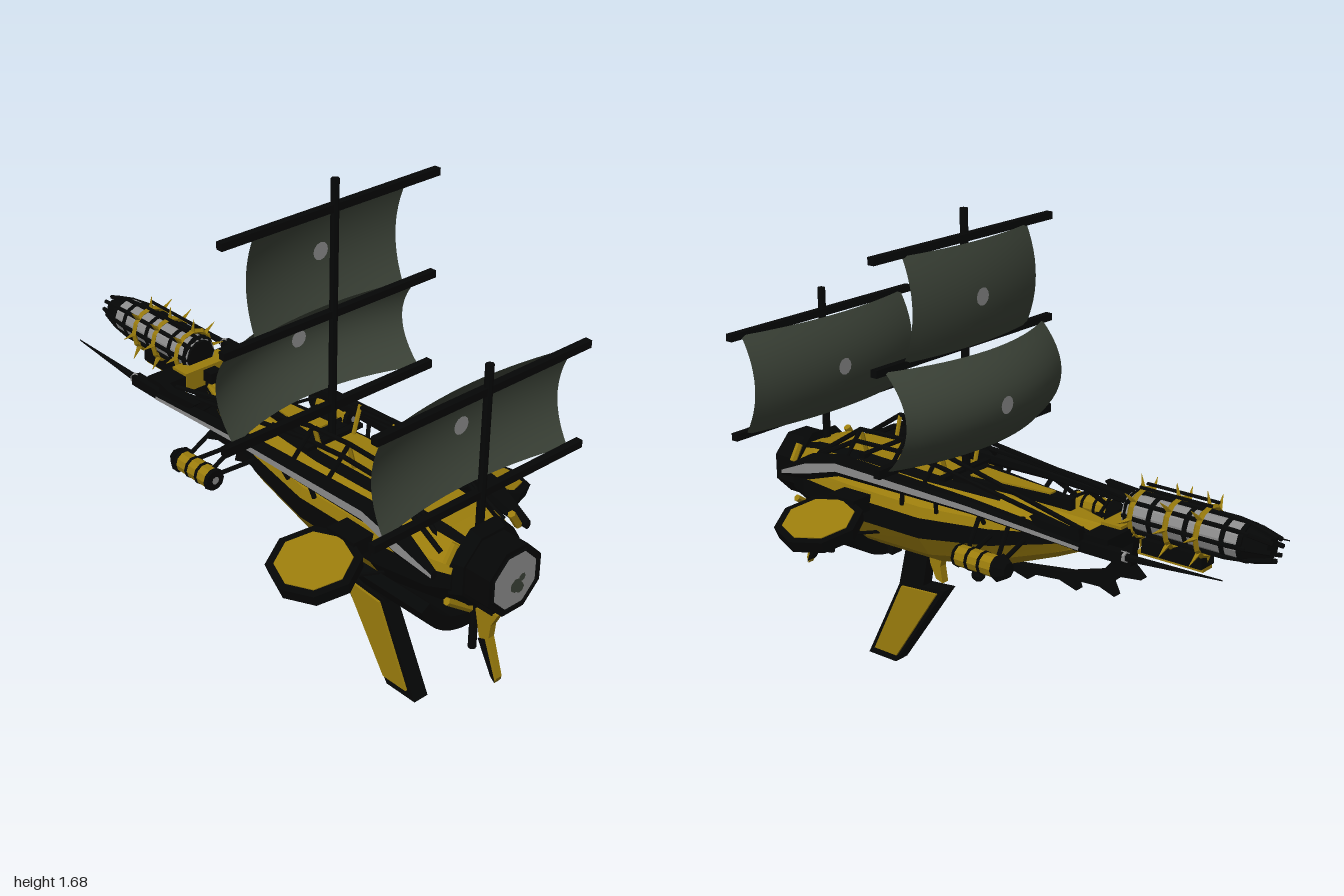
import * as THREE from 'three';

const V = (x, y, z) => new THREE.Vector3(x, y, z);
const mat = (name, color, flat = true) => Object.assign(new THREE.MeshStandardMaterial({ color, flatShading: flat }), { name });

export function createModel() {
  const root = new THREE.Group();
  root.name = 'airship';
  const black = mat('black iron', 0x050606), gold = mat('ochre panel', 0x9a7c0c);
  const grey = mat('pale grey', 0x8c8c8c), cloth = mat('sail cloth', 0x3b4237, false);
  cloth.side = THREE.DoubleSide;

  function add(name, geo, m, x = 0, y = 0, z = 0, parent = root) {
    const mesh = new THREE.Mesh(geo, m);
    mesh.name = name;
    mesh.position.set(x, y, z);
    parent.add(mesh);
    return mesh;
  }
  const box = (name, m, w, h, d, x, y, z) => add(name, new THREE.BoxGeometry(w, h, d), m, x, y, z);

  // Straight bar between two points
  function rod(name, a, b, r, m = black, sides = 6, r2 = r) {
    const d = b.clone().sub(a);
    const o = add(name, new THREE.CylinderGeometry(r2, r, d.length(), sides), m);
    o.position.copy(a).addScaledVector(d, 0.5);
    o.quaternion.setFromUnitVectors(V(0, 1, 0), d.normalize());
  }
  const path = (name, pts, r) => pts.slice(1).forEach((p, i) => rod(name, pts[i], p, r));

  // Drum lying along z
  function drum(name, rBack, rFront, len, sides, m, x, y, z) {
    const g = new THREE.CylinderGeometry(rFront, rBack, len, sides);
    g.rotateY(Math.PI / sides).rotateX(Math.PI / 2);
    add(name, g, m, x, y, z);
  }

  // Skin over counter-clockwise sections ordered front to back; one material index per face
  function loft(name, secs, mats, pick = () => 0) {
    const bins = mats.map(() => []);
    const n = secs[0].length;
    for (let i = 0; i < secs.length - 1; i++) for (let j = 0; j < n; j++) {
      const k = (j + 1) % n, a = secs[i][j], b = secs[i][k], c = secs[i + 1][k], d = secs[i + 1][j];
      bins[pick(i, j)].push(a, d, c, a, c, b);
    }
    const first = secs[0], last = secs[secs.length - 1];
    for (let j = 1; j < n - 1; j++) bins[0].push(first[0], first[j], first[j + 1], last[0], last[j + 1], last[j]);
    const g = new THREE.BufferGeometry().setFromPoints(bins.flat());
    let start = 0;
    bins.forEach((b, i) => { g.addGroup(start, b.length, i); start += b.length; });
    g.computeVertexNormals();
    add(name, g, mats);
  }

  // Flat plate drawn in (z, y) and given thickness along x
  function plate(name, pts, t, m, x = 0) {
    const s = new THREE.Shape(pts.map(([z, y]) => new THREE.Vector2(-z, y)));
    const g = new THREE.ExtrudeGeometry(s, { depth: t, bevelEnabled: false });
    g.translate(0, 0, -t / 2).rotateY(Math.PI / 2);
    add(name, g, m, x);
  }

  // Hull: [z, half width, bottom, top], black belt and deck edges, ochre panels
  const half = [[0.45, 1], [0.62, 0.88], [0.95, 0.45], [1, 0.22], [1, -0.24], [0.72, -0.72], [0.38, -1]];
  const ring = [...half.slice().reverse(), ...half.map(([x, y]) => [-x, y])];
  const stations = [[0.87, 0.14, 0.54, 0.765], [0.8, 0.17, 0.51, 0.785], [0.58, 0.19, 0.47, 0.8],
    [0.25, 0.185, 0.475, 0.79], [-0.02, 0.145, 0.53, 0.78], [-0.22, 0.09, 0.605, 0.765], [-0.44, 0.012, 0.7, 0.745]];
  const hullSecs = stations.map(([z, w, b, t]) => ring.map(([x, y]) => V(x * w, (b + t) / 2 + y * (t - b) / 2, z)));
  const bowStrip = [0, 0, 0, 1, 1, 0, 1, 0, 1, 1, 0, 0, 0, 0];
  const midStrip = [1, 1, 0, 1, 1, 0, 1, 0, 1, 1, 0, 1, 1, 1];
  const tailStrip = [1, 1, 0, 1, 1, 1, 1, 1, 1, 1, 0, 1, 1, 1];
  loft('hull', hullSecs, [black, gold], (i, j) => (i < 2 ? bowStrip : i < 4 ? midStrip : tailStrip)[j]);

  // Deck trim
  for (const z of [0.56, 0.2]) box('deckBand', black, 0.24, 0.015, 0.025, 0, 0.797, z);
  const wedge = (name, ends, y0, y1, m) =>
    loft(name, ends.map(([z, w]) => [V(-w, y0, z), V(w, y0, z), V(w, y1, z), V(-w, y1, z)]), [m]);
  wedge('deckWedge', [[0.18, 0.085], [-0.25, 0.014]], 0.755, 0.8, black);
  wedge('deckInlay', [[0.14, 0.045], [-0.17, 0.014]], 0.795, 0.806, gold);

  // Nose with round port
  drum('noseCollar', 0.15, 0.13, 0.04, 8, black, 0, 0.66, 0.88);
  drum('nose', 0.12, 0.12, 0.12, 8, black, 0, 0.66, 0.935);
  add('noseRim', new THREE.TorusGeometry(0.1, 0.016, 4, 8).rotateZ(Math.PI / 8), black, 0, 0.66, 0.984);
  add('nosePort', new THREE.CircleGeometry(0.095, 16), grey, 0, 0.66, 0.996);
  for (const [r, x, y] of [[0.025, 0.005, 0.64], [0.018, 0.022, 0.625], [0.014, 0.03, 0.66]])
    add('portMark', new THREE.CircleGeometry(r, 7), cloth, x, y, 0.998);

  // Cradle curved under the bow
  const cradle = new THREE.Shape();
  cradle.absarc(0, 0.645, 0.235, Math.PI * 1.13, Math.PI * 1.87, false);
  cradle.absarc(0, 0.665, 0.205, Math.PI * 1.85, Math.PI * 1.15, true);
  add('bowCradle', new THREE.ExtrudeGeometry(cradle, { depth: 0.29, bevelEnabled: false, curveSegments: 10 }), black, 0, 0, 0.54);
  plate('bowKeel', [[0.84, 0.52], [0.82, 0.45], [0.52, 0.41], [0.5, 0.5]], 0.05, black);

  // Masts, yards and sails
  rod('mainMast', V(0, 0.72, 0.195), V(0, 1.68, 0.195), 0.0135, black, 8);
  rod('foreMast', V(0, 0.33, 0.845), V(0, 1.32, 0.845), 0.0135, black, 8);
  for (const [y, z, h] of [[1.587, 0.19, 0.025], [1.235, 0.19, 0.025], [0.907, 0.19, 0.03], [1.235, 0.84, 0.025], [0.89, 0.84, 0.025]])
    box('yard', black, 0.88, h, 0.025, 0, y, z);
  function sail(y0, y1, w, z, a, b) {
    const g = new THREE.PlaneGeometry(2, 2, 16, 12), p = g.attributes.position;
    for (let i = 0; i < p.count; i++) {
      const u = p.getX(i), v = p.getY(i);
      p.setXYZ(i, u * w, (y0 + y1) / 2 + v * (y1 - y0) / 2, z - a * (1 - u * u) - b * (1 - v * v));
    }
    g.computeVertexNormals();
    add('sail', g, cloth, 0.003);
    for (const s of [-1, 1])
      add('sailDisc', new THREE.CircleGeometry(0.03, 12).rotateY(s < 0 ? Math.PI : 0), grey, 0.02, (y0 + y1) / 2, z - a - b + s * 0.005);
  }
  sail(1.24, 1.58, 0.307, 0.182, 0.035, 0.04);
  sail(0.905, 1.232, 0.395, 0.182, 0.09, 0.085);
  sail(0.89, 1.235, 0.39, 0.832, 0.05, 0.055);

  for (const s of [-1, 1]) {
    // Side rails with pale outer strip
    const rail = [[0.86, 0.7, 0.015, 0.012], [0.72, 0.748, 0.045, 0.032], [0.58, 0.783, 0.036, 0.03],
      [0, 0.775, 0.022, 0.027], [-0.44, 0.752, 0.015, 0.024]];
    loft('sideRail', rail.map(([z, y, h, w]) => [0, 1, 2, 3, 4, 5, 6, 7].map(k => {
      const t = (k + 0.5) * Math.PI / 4;
      return V(s * 0.203 + w * Math.cos(t) * 1.08, y + h * Math.sin(t) * 1.08, z);
    })), [black, grey], (i, j) => j === (s > 0 ? 7 : 3) ? 1 : 0);
    for (const [z, w] of [[-0.08, 0.1], [-0.26, 0.05]]) {
      rod('railBrace', V(s * 0.2, 0.755, z), V(s * w, 0.735, z - 0.05), 0.006);
      rod('railBrace', V(s * 0.2, 0.755, z - 0.1), V(s * w, 0.735, z - 0.05), 0.006);
    }
    for (const [z, x] of [[0.3, 0.186], [0.16, 0.172], [-0.02, 0.145]])
      rod('hullStay', V(s * 0.2, 0.77, z), V(s * x, 0.7, z + 0.02), 0.008);
    plate('sternCrest', [[-0.24, 0.805], [-0.29, 0.76], [-0.44, 0.75], [-0.43, 0.81], [-0.38, 0.795]], 0.03, black, s * 0.2);

    // Raised cage above the deck
    for (const [dx, dy] of [[0, 0], [0.025, -0.035]])
      path('cageRod', [V(s * (0.11 + dx), 0.73, 0.82), V(s * (0.1 + dx), 0.885 + dy, 0.58), V(s * (0.1 + dx), 0.89 + dy, 0.38),
        V(s * (0.1 + dx), 0.875 + dy, 0.2), V(s * (0.15 + dx), 0.775, -0.42)], 0.0085);
    for (const z of [0.58, 0.38, 0.22]) {
      rod('cageRib', V(s * 0.1, 0.885, z), V(s * 0.2, 0.78, z), 0.008);
      rod('cageRib', V(s * 0.1, 0.885, z), V(s * 0.07, 0.78, z), 0.008, gold);
    }

    // Octagonal side wings
    const wing = new THREE.Group();
    wing.name = 'sideWing';
    wing.position.set(s * 0.367, 0.633, 0.525);
    wing.rotation.z = -s * 0.27;
    root.add(wing);
    const rim = add('wingRim', new THREE.CylinderGeometry(0.157, 0.15, 0.044, 8), black, 0, 0, 0, wing);
    const face = add('wingPanel', new THREE.CylinderGeometry(0.128, 0.128, 0.006, 8), gold, 0, 0.022, 0, wing);
    rim.scale.x = face.scale.x = 0.92;
    box('wingHub', black, 0.1, 0.055, 0.12, s * 0.215, 0.67, 0.525);
    rod('wingStrut', V(s * 0.46, 0.595, 0.5), V(s * 0.17, 0.57, 0.62), 0.006);
    rod('wingStrut', V(s * 0.44, 0.6, 0.56), V(s * 0.16, 0.56, 0.45), 0.006);

    // Side canisters on brackets
    drum('canister', 0.036, 0.036, 0.15, 10, gold, s * 0.305, 0.65, -0.11);
    for (const z of [-0.19, -0.135, -0.085]) drum('canisterBand', 0.039, 0.039, 0.01, 10, black, s * 0.305, 0.65, z);
    drum('canisterCap', 0.026, 0.046, 0.035, 8, black, s * 0.305, 0.65, -0.215);
    drum('canisterEnd', 0.04, 0.036, 0.012, 10, black, s * 0.305, 0.65, -0.032);
    add('canisterLens', new THREE.CircleGeometry(0.014, 8), grey, s * 0.305, 0.65, -0.024);
    for (const z of [-0.06, -0.18]) {
      rod('canisterArm', V(s * 0.3, 0.665, z), V(s * 0.2, 0.755, z + 0.03), 0.008);
      rod('canisterArm', V(s * 0.3, 0.645, z), V(s * 0.07, 0.67, z + 0.05), 0.008);
    }

    // Long rear spikes
    box('spikeBase', black, 0.035, 0.035, 0.18, s * 0.198, 0.755, -0.5);
    rod('rearSpike', V(s * 0.198, 0.755, -0.57), V(s * 0.192, 0.77, -0.93), 0.014, black, 6, 0.002);
    rod('spikeCollar', V(s * 0.198, 0.756, -0.58), V(s * 0.198, 0.757, -0.6), 0.018, grey);

    // Ochre trim under the nose and cheek plates beside the keel fin
    rod('noseTrim', V(s * 0.145, 0.58, 0.862), V(s * 0.04, 0.505, 0.862), 0.013, gold);
    rod('noseTrim', V(s * 0.12, 0.775, 0.862), V(s * 0.155, 0.72, 0.862), 0.013, gold);
    plate('finPanel', [[0.468, 0.31], [0.305, 0.323], [0.5, 0.03], [0.605, 0.03]], 0.01, gold, s * 0.034);
  }

  // Keel fin and lesser fins
  plate('finFrame', [[0.48, 0.32], [0.275, 0.34], [0.51, 0], [0.64, 0]], 0.06, black);
  plate('finArm', [[0.45, 0.48], [0.35, 0.48], [0.38, 0.32], [0.49, 0.31]], 0.045, black);
  plate('keelHook', [[0.36, 0.48], [0.29, 0.48], [0.305, 0.42], [0.295, 0.36], [0.325, 0.37], [0.35, 0.42]], 0.03, gold);
  plate('bowRudder', [[0.95, 0.51], [0.86, 0.49], [0.88, 0.4], [0.955, 0.26], [0.962, 0.28], [0.92, 0.41], [0.925, 0.46]], 0.025, gold);
  plate('rudderEdge', [[0.905, 0.4], [0.88, 0.39], [0.94, 0.28], [0.957, 0.265]], 0.032, black);
  box('rudderMount', black, 0.03, 0.03, 0.12, 0, 0.515, 0.87);

  // Spined keel sweeping up to the stern
  plate('sternKeel', [[0.12, 0.5], [0.1, 0.475], [-0.02, 0.495], [-0.08, 0.48], [-0.11, 0.505], [-0.21, 0.515], [-0.28, 0.495],
    [-0.27, 0.53], [-0.37, 0.535], [-0.43, 0.515], [-0.41, 0.555], [-0.45, 0.59], [-0.53, 0.6], [-0.49, 0.635],
    [-0.5, 0.74], [-0.42, 0.74], [-0.43, 0.65], [-0.38, 0.59], [-0.25, 0.55], [-0.08, 0.525]], 0.035, black);
  rod('bellyGunStem', V(0, 0.45, 0.145), V(0, 0.53, 0.145), 0.025, black, 8);
  add('bellyGunBall', new THREE.SphereGeometry(0.025, 8, 6), black, 0, 0.43, 0.145);

  // Stern crosspiece
  box('crosspiece', black, 0.39, 0.05, 0.09, 0, 0.765, -0.48);
  box('crosspiecePlate', gold, 0.2, 0.07, 0.075, 0, 0.765, -0.47);
  box('sternBlock', black, 0.05, 0.04, 0.06, 0, 0.77, -0.42);

  // Tail pod: pale core in a cage of bars and spiked hoops
  const py = 0.82;
  drum('podCore', 0.061, 0.061, 0.42, 16, grey, 0, py, -0.69);
  drum('podCap', 0.035, 0.062, 0.08, 10, black, 0, py, -0.94);
  drum('podBase', 0.072, 0.055, 0.02, 10, black, 0, py, -0.485);
  for (const z of [-0.58, -0.71, -0.84, -0.9]) drum('podBand', 0.064, 0.064, 0.016, 16, black, 0, py, z);
  for (let i = 0; i < 8; i++) {
    const t = i * Math.PI / 4, at = (r, z) => V(r * Math.cos(t), py + r * Math.sin(t), z);
    path('podBar', [at(0.054, -0.48), at(0.066, -0.53), at(0.066, -0.84), at(0.056, -0.92), at(0.036, -0.995)], 0.008);
  }
  for (const z of [-0.52, -0.65, -0.76]) {
    add('podHoop', new THREE.TorusGeometry(0.077, 0.01, 4, 12), gold, 0, py, z);
    for (let i = 0; i < 8; i++) {
      const t = i * Math.PI / 4, c = Math.cos(t), n = Math.sin(t);
      rod('hoopSpike', V(c * 0.075, py + n * 0.075, z), V(c * 0.126, py + n * 0.126, z + 0.01), 0.01, gold, 4, 0.001);
    }
  }
  for (const s of [-1, 1]) rod('podTopBar', V(s * 0.02, 0.91, -0.52), V(s * 0.02, 0.91, -0.78), 0.006);
  box('podTray', black, 0.07, 0.045, 0.22, 0, 0.725, -0.65);
  box('podTrayPlate', gold, 0.05, 0.012, 0.24, 0, 0.697, -0.64);
  return root;
}
